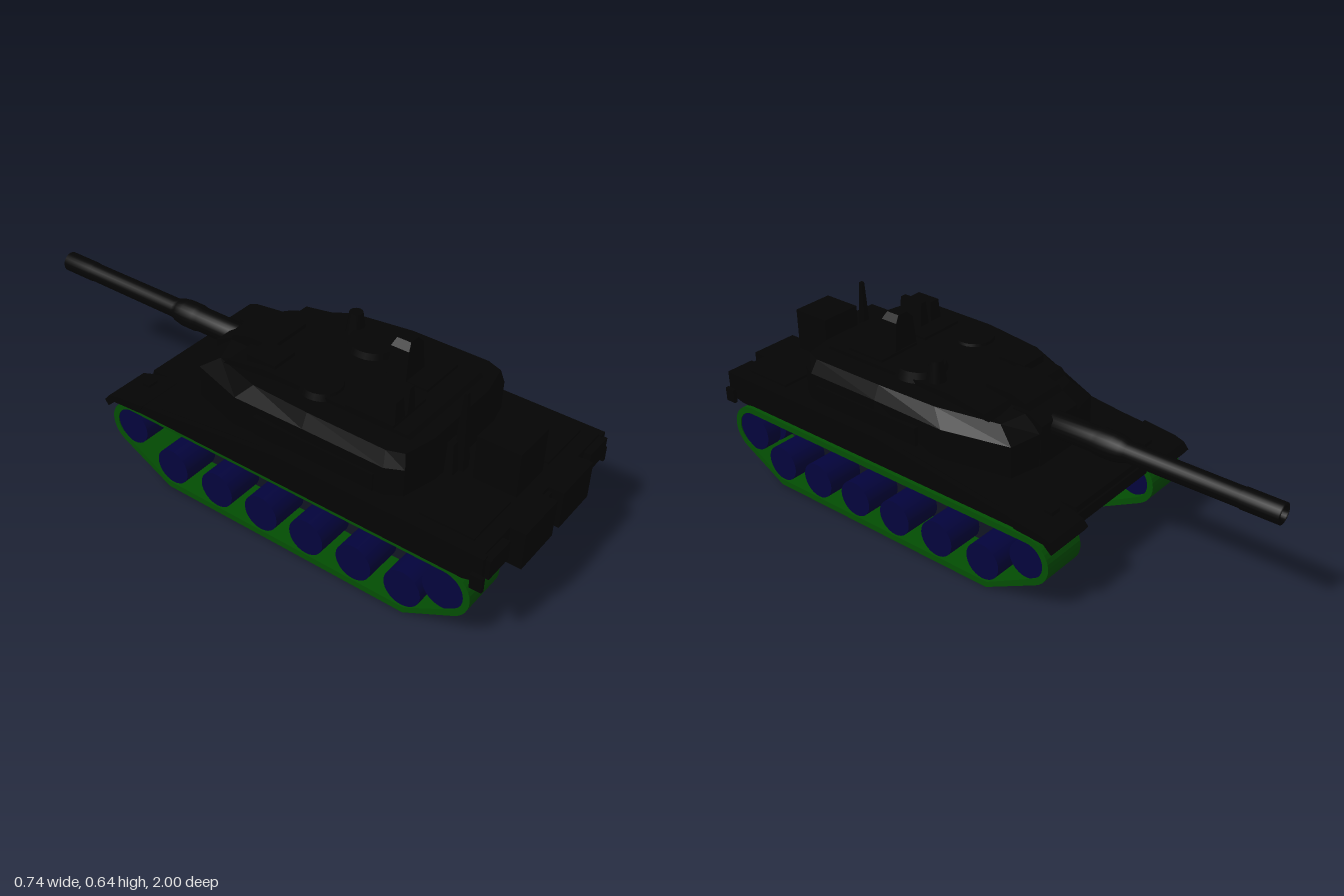
import * as THREE from 'three';

const paint = (name, color) => {
  const m = new THREE.MeshStandardMaterial({ color });
  m.name = name;
  return m;
};

export function createModel() {
  const root = new THREE.Group();
  root.name = 'tank';
  const armour = paint('black armour', 0x040404);
  const green = paint('green track', 0x034e03);
  const navy = paint('navy wheel', 0x03033c);

  const add = (name, geo, mat = armour, parent = root) => {
    const m = new THREE.Mesh(geo, mat);
    m.name = name;
    parent.add(m);
    return m;
  };
  // Box given by its limits on each axis
  const box = (name, x0, x1, y0, y1, z0, z1) => add(name,
    new THREE.BoxGeometry(x1 - x0, y1 - y0, z1 - z0)
      .translate((x0 + x1) / 2, (y0 + y1) / 2, (z0 + z1) / 2));
  // Side outline of [z, y] points, extruded across x
  const slab = (pts, x0, x1, hole) => {
    const s = new THREE.Shape(pts.map(p => new THREE.Vector2(...p)));
    if (hole) s.holes.push(new THREE.Path(hole.map(p => new THREE.Vector2(...p))));
    return new THREE.ExtrudeGeometry(s, { depth: x1 - x0, bevelEnabled: false })
      .rotateY(-Math.PI / 2).translate(x1, 0, 0);
  };
  // Upright cylinder or tapered post standing at y0
  const post = (name, x, z, y0, y1, rTop, rBase, sides = 24) => add(name,
    new THREE.CylinderGeometry(rTop, rBase, y1 - y0, sides).translate(x, (y0 + y1) / 2, z));
  // Stacked plan rings of [x, y, z], walled and closed top and bottom
  const loft = rings => {
    const pos = [], n = rings[0].length;
    const mid = r => [0, 1, 2].map(k => r.reduce((s, p) => s + p[k], 0) / n);
    const low = mid(rings[0]), high = mid(rings[rings.length - 1]);
    for (let i = 0; i < n; i++) {
      const j = (i + 1) % n;
      for (let k = 0; k < rings.length - 1; k++) {
        const [a, b, c, d] = [rings[k][i], rings[k][j], rings[k + 1][j], rings[k + 1][i]];
        pos.push(...a, ...c, ...b, ...a, ...d, ...c);
      }
      const top = rings[rings.length - 1];
      pos.push(...high, ...top[j], ...top[i], ...low, ...rings[0][i], ...rings[0][j]);
    }
    const g = new THREE.BufferGeometry();
    g.setAttribute('position', new THREE.Float32BufferAttribute(pos, 3));
    g.computeVertexNormals();
    return g;
  };

  // Tracks: closed belts around the running gear
  const belt = t => {
    const pts = [];
    const arc = (z, y, r, a0, a1) => {
      for (let i = 0; i <= 14; i++) {
        const a = THREE.MathUtils.degToRad(a0 + (a1 - a0) * i / 14);
        pts.push([z + (r - t) * Math.cos(a), y + (r - t) * Math.sin(a)]);
      }
    };
    arc(-0.37, 0.177, 0.085, 90, 244);
    pts.push([-0.215 - t * 0.2, t], [0.715 + t * 0.2, t]);
    arc(0.84, 0.172, 0.09, -62, 90);
    return pts;
  };
  const roadWheels = [0.705, 0.53, 0.352, 0.174, -0.008, -0.198];

  for (const [side, x, out] of [['left', 0.291, 1], ['right', -0.27, -1]]) {
    const gear = new THREE.Group();
    gear.name = side + 'RunningGear';
    root.add(gear);
    add(side + 'Track', slab(belt(0), x - 0.081, x + 0.081, belt(0.022)), green, gear);
    // Wheel spanning two distances outward from the track's middle line
    const wheel = (name, z, y, r, from, to) => add(name,
      new THREE.CylinderGeometry(r, r, to - from, 28).rotateZ(Math.PI / 2)
        .translate(x + out * (from + to) / 2, y, z), navy, gear);
    for (const z of roadWheels) wheel('roadWheel', z, 0.088, 0.064, -0.06, 0.077);
    wheel('frontWheel', -0.37, 0.175, 0.064, -0.06, 0.077);
    wheel('rearWheelOuter', 0.84, 0.168, 0.07, 0.02, 0.077);
    wheel('rearWheelInner', 0.84, 0.168, 0.07, -0.065, -0.005);
    wheel('rearAxle', 0.84, 0.168, 0.03, -0.02, 0.04);
  }

  // Hull: narrow belly below, wide body over the tracks
  add('lowerHull', slab([[0.94, 0.3], [0.94, 0.245], [0.69, 0.235], [0.675, 0.165],
    [-0.3, 0.165], [-0.43, 0.23], [-0.42, 0.29]], -0.185, 0.19));
  add('upperHull', slab([[0.95, 0.36], [0.95, 0.28], [-0.38, 0.275], [-0.43, 0.25],
    [-0.43, 0.27], [-0.36, 0.288], [-0.21, 0.305], [0.05, 0.34], [0.25, 0.36]], -0.34, 0.34));
  box('towBlock', -0.02, 0.015, 0.24, 0.35, 0.94, 0.965);
  for (const s of [1, -1]) {
    const lim = (a, b) => s > 0 ? [a, b] : [-b, -a];
    add('sideSkirt', slab([[0.96, 0.36], [0.96, 0.275], [0.9, 0.258], [-0.4, 0.258], [-0.45, 0.25],
      [-0.45, 0.268], [-0.36, 0.288], [-0.21, 0.302], [0.05, 0.335], [0.25, 0.36]], ...lim(0.335, 0.358)));
    add('frontMudguard', slab([[-0.3, 0.298], [-0.32, 0.265], [-0.43, 0.257], [-0.46, 0.23],
      [-0.474, 0.25], [-0.455, 0.272], [-0.42, 0.284]], ...lim(0.2, 0.366)));
    box('rearBin', ...lim(0.24, 0.345), 0.285, 0.352, 0.94, 0.975);
    box('rearFlap', ...lim(0.02, 0.2), 0.23, 0.36, 0.93, 1.0);
    box('rearMudflap', ...lim(0.357, 0.37), 0.25, 0.3, 0.93, 0.97);
    box('engineGrille', ...lim(0.11, 0.31), 0.355, 0.368, 0.72, 0.9);
    box('headlight', ...lim(0.23, 0.27), 0.28, 0.3, -0.39, -0.36);
  }
  box('deckBox', -0.08, 0.075, 0.355, 0.513, 0.755, 0.9);

  // Turret: broad front cheeks, upright walls and a chamfered roof edge
  const ring = half => [...half, ...half.map(([x, y, z]) => [-x, y, z]).reverse()];
  add('turret', loft([
    ring([[0.1, 0.29, -0.205], [0.21, 0.29, -0.185], [0.295, 0.32, 0.03], [0.31, 0.34, 0.3],
      [0.308, 0.34, 0.59], [0.275, 0.34, 0.645], [0.15, 0.34, 0.675]]),
    ring([[0.1, 0.425, -0.21], [0.21, 0.42, -0.185], [0.29, 0.44, 0.03], [0.303, 0.455, 0.3],
      [0.303, 0.455, 0.59], [0.275, 0.455, 0.645], [0.15, 0.455, 0.675]]),
    ring([[0.09, 0.475, -0.15], [0.18, 0.465, -0.12], [0.26, 0.492, 0.08], [0.28, 0.502, 0.3],
      [0.282, 0.502, 0.58], [0.262, 0.502, 0.635], [0.15, 0.502, 0.66]]),
  ]));
  add('roofPlate', slab([[0.62, 0.49], [0.6, 0.513], [0.07, 0.513], [-0.07, 0.49], [-0.09, 0.47]], -0.2, 0.2));
  for (const s of [1, -1]) box('turretSideBin', ...(s > 0 ? [0.29, 0.311] : [-0.311, -0.29]), 0.355, 0.42, 0.12, 0.56);

  // Roof fittings
  post('gunnerHatch', -0.15, 0.26, 0.5, 0.522, 0.065, 0.072);
  post('commanderHatch', 0.12, 0.26, 0.5, 0.535, 0.082, 0.092);
  post('sightHead', 0.152, 0.165, 0.5, 0.585, 0.023, 0.036, 12);
  box('sightHousing', -0.18, -0.08, 0.49, 0.525, -0.01, 0.1);
  add('frontRoofPanel', slab([[0.02, 0.48], [0.02, 0.518], [-0.08, 0.515], [-0.14, 0.498], [-0.16, 0.47]], -0.09, 0.08));
  box('leftRoofLocker', 0.01, 0.18, 0.5, 0.522, 0.38, 0.53);
  box('rightRoofLocker', -0.2, -0.03, 0.5, 0.522, 0.38, 0.55);
  // Tapered box: base and top sizes around a centre
  const tower = (name, x, z, y, w, d, wTop, dTop, h) => {
    const rect = (a, b, yy) => [[x - a, yy, z - b], [x + a, yy, z - b], [x + a, yy, z + b], [x - a, yy, z + b]];
    add(name, loft([rect(w / 2, d / 2, y), rect(wTop / 2, dTop / 2, y + h)]));
  };
  tower('panoramicSightBase', 0.057, 0.42, 0.505, 0.105, 0.07, 0.08, 0.065, 0.115);
  tower('panoramicSightCap', 0.057, 0.42, 0.62, 0.08, 0.065, 0.04, 0.05, 0.022);
  tower('rearSensor', -0.165, 0.5, 0.505, 0.055, 0.1, 0.04, 0.09, 0.085);
  tower('midSensor', -0.107, 0.5, 0.505, 0.045, 0.1, 0.022, 0.095, 0.1);
  tower('antenna', -0.06, 0.7, 0.36, 0.035, 0.04, 0.013, 0.012, 0.268);
  tower('antennaBracket', -0.06, 0.675, 0.36, 0.1, 0.06, 0.08, 0.04, 0.1);

  // Gun: mantlet, sleeve and barrel along -z
  add('mantlet', slab([[-0.1, 0.48], [-0.1, 0.3], [-0.21, 0.3],
    [-0.215, 0.45], [-0.16, 0.478]], -0.09, 0.095));
  const barrel = [[0, 0.2], [0.043, 0.2], [0.043, 0.36], [0.047, 0.38], [0.047, 0.43], [0.042, 0.46],
    [0.034, 0.48], [0.033, 0.87], [0.035, 0.875], [0.035, 1.0], [0.022, 1.0], [0.022, 0.95], [0, 0.95]];
  add('gunBarrel', new THREE.LatheGeometry(barrel.map(p => new THREE.Vector2(...p)), 24)
    .rotateX(-Math.PI / 2).translate(0.006, 0.42, 0));
  return root;
}
